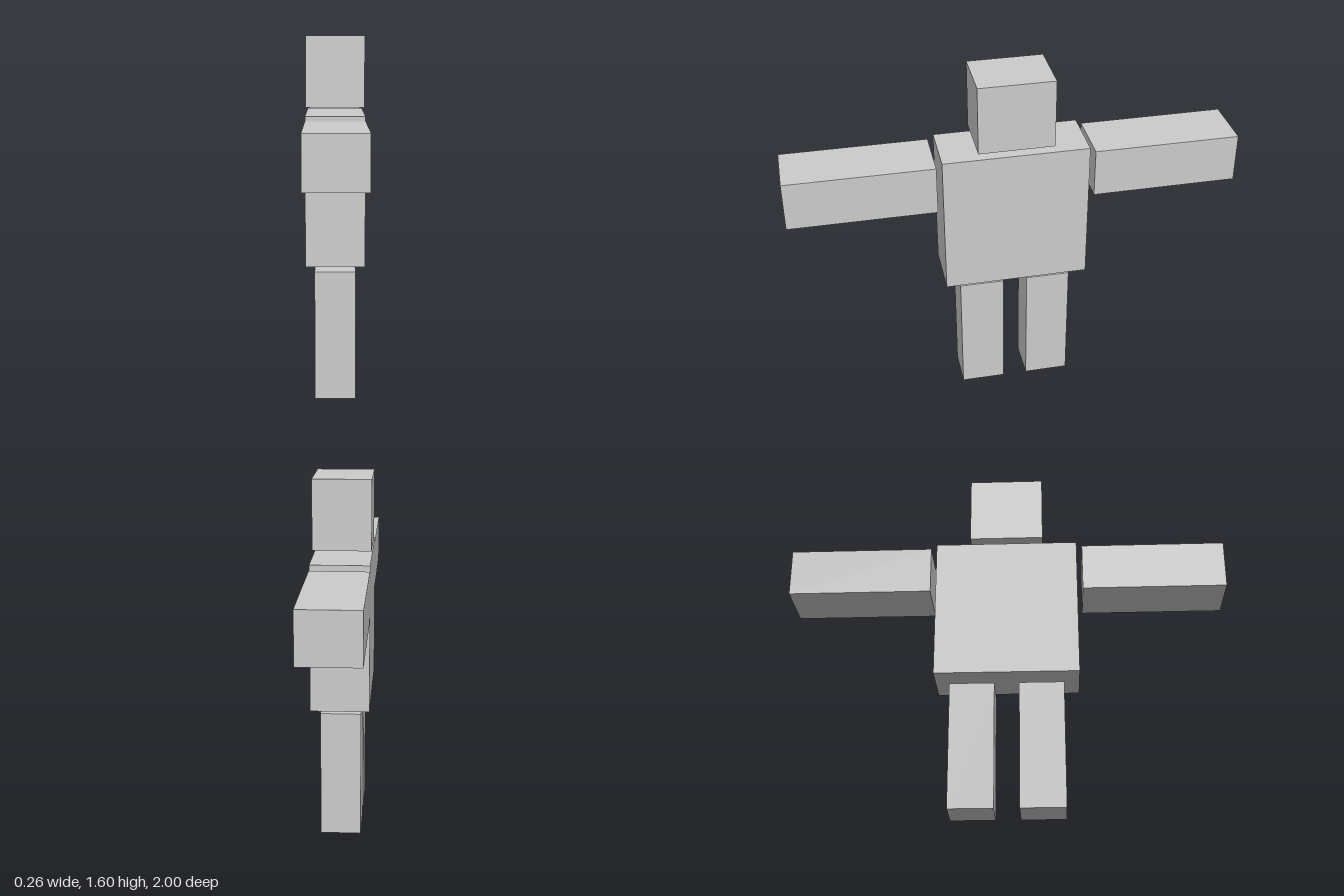
import * as THREE from 'three';

const material = new THREE.MeshStandardMaterial({ color: 0xcccccc, flatShading: true });

// Box with its bottom face at height y
function block(name, width, height, depth, y, z = 0) {
  const mesh = new THREE.Mesh(new THREE.BoxGeometry(width, height, depth), material);
  mesh.name = name;
  mesh.position.set(0, y + height / 2, z);
  return mesh;
}

export function createModel() {
  const model = new THREE.Group();
  model.name = 'blockFigure';

  model.add(block('head', 0.258, 0.31, 0.336, 1.29));
  model.add(block('torso', 0.258, 0.65, 0.648, 0.61));

  // Limbs mirrored along z, the figure's arm-span axis
  for (const [suffix, s] of [['PlusZ', 1], ['MinusZ', -1]]) {
    model.add(block('arm' + suffix, 0.258, 0.22, 0.651, 1.02, s * 0.6745));
    model.add(block('leg' + suffix, 0.18, 0.575, 0.2, 0, s * 0.155));
  }
  return model;
}
